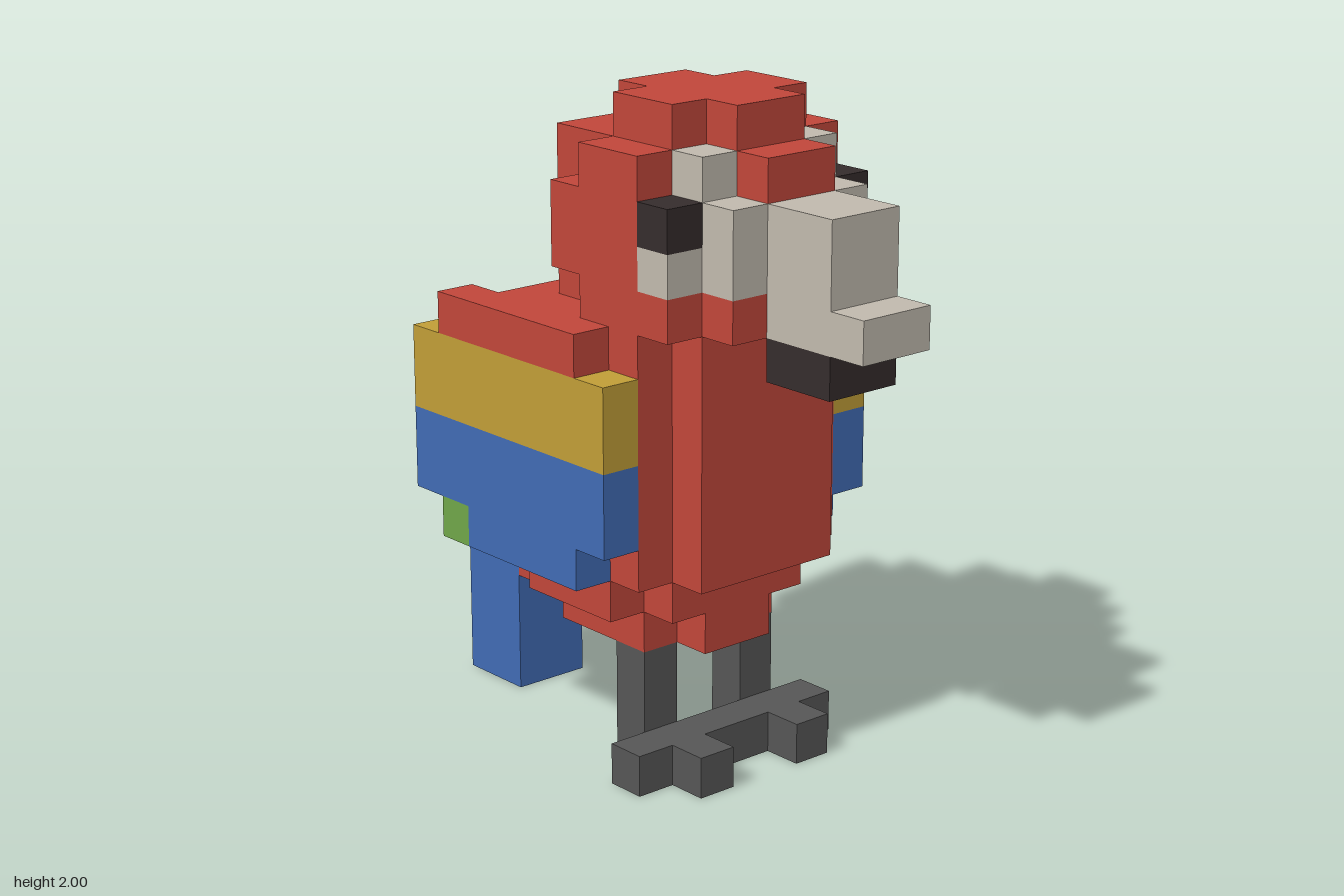
import * as THREE from 'three';

const U = 0.125; // one block

const mat = (name, color) => {
  const m = new THREE.MeshStandardMaterial({ color });
  m.name = name;
  return m;
};

export function createModel() {
  const red = mat('red feathers', 0xc0463a);
  const yellow = mat('yellow feathers', 0xc09d37);
  const blue = mat('blue feathers', 0x416bb3);
  const green = mat('green feathers', 0x6fa549);
  const cream = mat('cream face', 0xc0b9ad);
  const dark = mat('dark eye', 0x352c2c);
  const grey = mat('grey legs', 0x565656);

  const model = new THREE.Group();
  model.name = 'parrot';

  const part = (name) => {
    const g = new THREE.Group();
    g.name = name;
    model.add(g);
    return g;
  };
  // Box from block coordinates: x0..x1, y0..y1, z0..z1
  const box = (g, name, m, x0, x1, y0, y1, z0, z1) => {
    const geo = new THREE.BoxGeometry((x1 - x0) * U, (y1 - y0) * U, (z1 - z0) * U);
    const mesh = new THREE.Mesh(geo, m);
    mesh.name = name;
    mesh.position.set((x0 + x1) * U / 2, (y0 + y1) * U / 2, (z0 + z1) * U / 2);
    g.add(mesh);
  };
  // Box centred on x
  const mid = (g, name, m, half, ...r) => box(g, name, m, -half, half, ...r);
  // Box mirrored to both sides
  const pair = (g, name, m, x0, x1, ...r) => {
    box(g, name + 'Left', m, x0, x1, ...r);
    box(g, name + 'Right', m, -x1, -x0, ...r);
  };

  // Head, from crown down to neck
  const head = part('head');
  mid(head, 'crown', red, 2, 15, 16, 0, 2);
  mid(head, 'crownRidge', red, 1, 15, 16, -1, 3);
  mid(head, 'brow', red, 3, 14, 15, 0, 2);
  mid(head, 'browBack', red, 2, 14, 15, -2, 0);
  mid(head, 'forehead', red, 1, 14, 15, 2, 4);
  mid(head, 'skull', red, 3, 12, 14, -1, 2);
  mid(head, 'skullBack', red, 2, 12, 14, -2, -1);
  mid(head, 'neck', red, 3, 11, 12, 0, 3);
  mid(head, 'throat', red, 2, 11, 12, 3, 4);
  mid(head, 'neckBack', red, 2, 11, 12, -2, 0);
  mid(head, 'nape', red, 1, 11, 12, -3, -2);

  // Face and beak
  const face = part('face');
  mid(face, 'mask', cream, 2, 12, 14, 2, 4);
  pair(face, 'cheek', cream, 2, 3, 12, 13, 2, 3);
  pair(face, 'eyebrow', cream, 1, 2, 14, 15, 2, 3);
  pair(face, 'eye', dark, 2, 3, 13, 14, 2, 3);
  mid(face, 'upperBeak', cream, 1, 12, 14, 4, 6);
  mid(face, 'beakTip', cream, 1, 11, 12, 4, 7);
  mid(face, 'lowerBeak', dark, 1, 10, 11, 4, 6);

  // Body, stepping in towards the belly
  const body = part('body');
  mid(body, 'torso', red, 3, 5, 11, -3, 2);
  mid(body, 'chest', red, 2, 5, 11, 2, 3);
  mid(body, 'back', red, 2, 5, 10, -4, -3);
  mid(body, 'lowerBody', red, 3, 4, 5, -2, 1);
  mid(body, 'lowerBodyCore', red, 2, 4, 5, -3, 2);
  mid(body, 'belly', red, 2, 3, 4, -2, 1);
  mid(body, 'bellyCore', red, 1, 3, 4, -3, 2);

  // Wings in coloured bands
  const wings = part('wings');
  pair(wings, 'shoulder', red, 3, 4, 10, 11, -4, 1);
  pair(wings, 'yellowBand', yellow, 3, 4, 8, 10, -5, 2);
  pair(wings, 'blueBand', blue, 3, 4, 6, 8, -5, 2);
  pair(wings, 'blueLowerBand', blue, 3, 4, 5, 6, -3, 1);
  pair(wings, 'greenTip', green, 3, 4, 5, 6, -4, -3);
  pair(wings, 'innerYellow', yellow, 2, 3, 8, 10, -4, -3);
  pair(wings, 'innerBlue', blue, 2, 3, 6, 8, -4, -3);

  // Tail
  const tail = part('tail');
  mid(tail, 'tailBase', red, 1, 4, 8, -6, -4);
  mid(tail, 'tailUnderside', red, 1, 3, 4, -5, -4);
  mid(tail, 'tailTip', blue, 1, 0, 4, -7, -5);

  // Legs and feet
  const legs = part('legs');
  pair(legs, 'leg', grey, 1, 2, 0, 3, 0, 1);
  mid(legs, 'footBar', grey, 3, 0, 1, 1, 2);
  pair(legs, 'toe', grey, 1, 2, 0, 1, 2, 3);

  return model;
}
